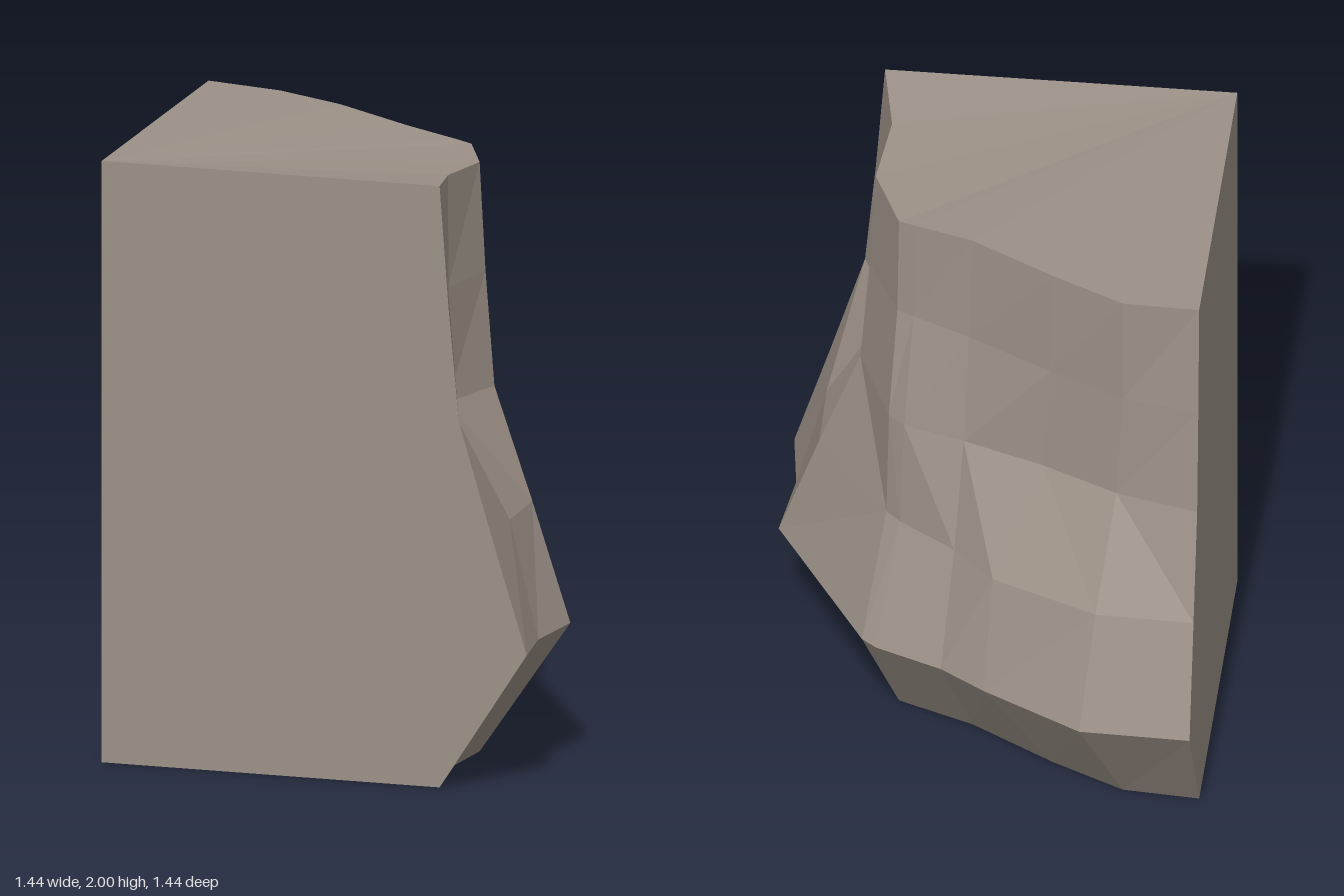
import * as THREE from 'three';

// Cross-sections of the rugged side, running from the front edge round to the back edge: [x, z]
const rim = [[0.425, 0.72], [0.375, 0.47], [0.40, 0.21], [0.30, -0.02], [0.25, -0.04],
  [0.05, -0.12], [-0.23, -0.29], [-0.47, -0.41], [-0.72, -0.43]];
const levels = [
  { y: 0, pts: rim },
  { y: 0.46, pts: [[0.72, 0.72], [0.69, 0.50], [0.72, 0.25], [0.39, -0.30], [0.34, -0.34],
    [0.12, -0.43], [-0.03, -0.53], [-0.36, -0.71], [-0.72, -0.72]] },
  { y: 0.85, pts: [[0.60, 0.72], [0.59, 0.49], [0.585, 0.23], [0.33, -0.12], [0.28, -0.17],
    [0.09, -0.30], [-0.05, -0.44], [-0.40, -0.59], [-0.72, -0.60]] },
  { y: 1.22, pts: [[0.49, 0.72], [0.375, 0.47], [0.45, 0.21], [0.325, -0.09], [0.27, -0.14],
    [0.07, -0.20], [-0.20, -0.30], [-0.45, -0.42], [-0.72, -0.49]] },
  { y: 1.6, pts: [[0.455, 0.72], [0.375, 0.47], [0.42, 0.21], [0.305, -0.02], [0.25, -0.05],
    [0.06, -0.14], [-0.22, -0.29], [-0.47, -0.41], [-0.72, -0.455]] },
  { y: 2, pts: rim, dip: [0, 0.025, 0.04, 0.04, 0.035, 0.02, 0.01, 0.01, 0] },
];

// Each loop ends at the square inner corner
const loops = levels.map(({ y, pts, dip }) => [
  ...pts.map(([x, z], i) => [x, y - (dip ? dip[i] : 0), z]),
  [-0.72, y, 0.72],
]);

function facets(triangles) {
  const g = new THREE.BufferGeometry();
  g.setAttribute('position', new THREE.Float32BufferAttribute(triangles.flat(2), 3));
  g.computeVertexNormals();
  return g;
}

export function createModel() {
  const group = new THREE.Group();
  group.name = 'cliffCorner';
  const stone = new THREE.MeshStandardMaterial({ color: 0x9c9187, flatShading: true });
  stone.name = 'stone';
  const add = (name, tris) => {
    const mesh = new THREE.Mesh(facets(tris), stone);
    mesh.name = name;
    group.add(mesh);
  };

  const n = rim.length;
  const rock = [], walls = [], top = [], bottom = [];

  // Rock face and the two flat walls between neighbouring loops
  for (let l = 0; l < loops.length - 1; l++) {
    for (let i = 0; i <= n; i++) {
      const j = (i + 1) % (n + 1);
      const a = loops[l][i], b = loops[l][j], c = loops[l + 1][j], d = loops[l + 1][i];
      const target = i < n - 1 ? rock : walls;
      if (l === 2) target.push([a, b, d], [b, c, d]);
      else target.push([a, b, c], [a, c, d]);
    }
  }

  // Top and bottom fan out from the inner corner
  const up = loops[loops.length - 1], down = loops[0];
  for (let i = 0; i < n - 1; i++) {
    top.push([up[n], up[i], up[i + 1]]);
    bottom.push([down[n], down[i + 1], down[i]]);
  }

  add('rockFace', rock);
  add('flatWalls', walls);
  add('topSurface', top);
  add('underside', bottom);
  return group;
}
